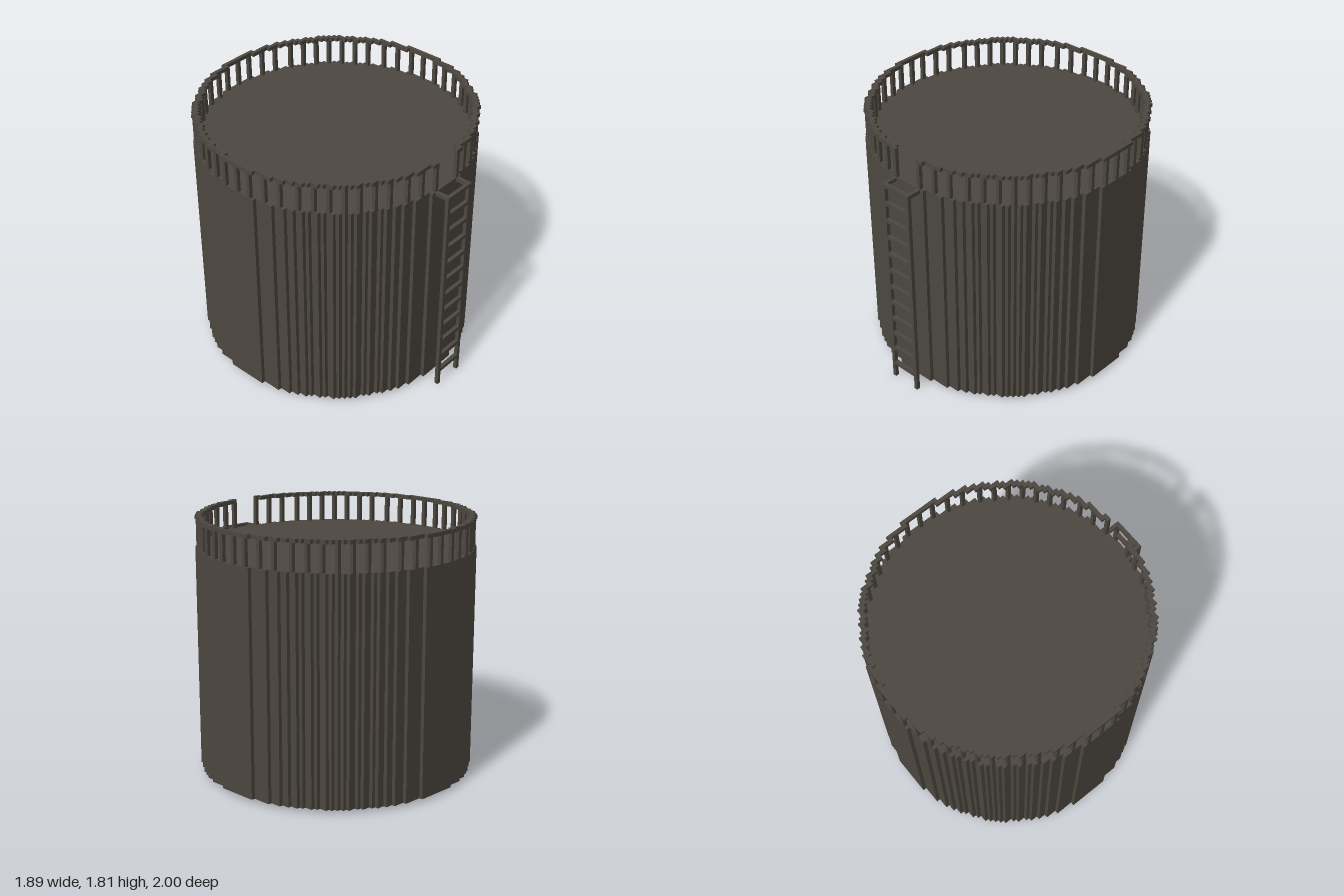
import * as THREE from 'three';

// Everything sits on a grid of cubes, 75 cubes along the longest side.
const U = 2 / 75;
const R = 35;             // tank radius in cubes, around a centre cube
const CZ = -1 + 35.5 * U; // tank centre on z
const ROOF = 60, RAIL = 67;

// Half height of the stepped disc in column x, and of the disc one cube inside it
const outerH = (x) => Math.floor(Math.sqrt((R + 0.5) ** 2 - x * x));
const innerH = (x) => outerH(x + 1) - 1;

// Stepped clockwise outline; with a gap it starts and ends at x = +gap and -gap on the front edge
function outline(h, n, gap) {
  const quarter = [];
  for (let x = 0; x <= n; x++) {
    const next = x < n ? h(x + 1) : -0.5;
    if (next === h(x)) continue;
    quarter.push([x + 0.5, h(x) + 0.5]);
    if (x < n) quarter.push([x + 0.5, next + 0.5]);
  }
  const back = [...quarter].reverse().map(([x, z]) => [x, -z]);
  const half = [...quarter, ...back];
  const mirrored = [...half].reverse().map(([x, z]) => [-x, z]);
  const pts = [...half, ...mirrored];
  if (gap) {
    pts.unshift([gap, h(0) + 0.5]);
    pts.push([-gap, h(0) + 0.5]);
  }
  return pts.map(([x, z]) => new THREE.Vector2(x * U, z * U));
}

export function createModel() {
  const model = new THREE.Group();
  model.name = 'storageTank';
  const steel = new THREE.MeshStandardMaterial({ color: 0x4d4840 });
  steel.name = 'darkSteel';

  // Extruded plan shape between two levels, given in cubes
  const slab = (name, shape, y0, y1) => {
    const geo = new THREE.ExtrudeGeometry(shape, { depth: (y1 - y0) * U, bevelEnabled: false });
    geo.rotateX(Math.PI / 2);
    geo.translate(0, y1 * U, CZ);
    const mesh = new THREE.Mesh(geo, steel);
    mesh.name = name;
    model.add(mesh);
  };

  // Box covering a range of cubes, inclusive on x and z
  const box = (parent, name, x0, x1, y0, y1, z0, z1) => {
    const mesh = new THREE.Mesh(
      new THREE.BoxGeometry((x1 - x0 + 1) * U, (y1 - y0) * U, (z1 - z0 + 1) * U), steel);
    mesh.position.set((x0 + x1) / 2 * U, (y0 + y1) / 2 * U, CZ + (z0 + z1) / 2 * U);
    mesh.name = name;
    parent.add(mesh);
  };

  // Tank wall, open underneath; the hole runs the other way so its faces look inward
  const wall = new THREE.Shape(outline(outerH, R, 0));
  wall.holes.push(new THREE.Path(outline(innerH, R - 1, 0).reverse()));
  slab('tankWall', wall, 1, ROOF);

  // Roof plate fitted inside the wall
  slab('roof', new THREE.Shape(outline(innerH, R - 1, 0)), ROOF - 1, ROOF);

  // Handrail with an opening at the ladder
  const rail = [...outline(outerH, R, 3.5), ...outline(innerH, R - 1, 3.5).reverse()];
  slab('handrail', new THREE.Shape(rail), RAIL, RAIL + 1);

  // Railing posts, mirrored into all eight octants
  const posts = new THREE.Group();
  posts.name = 'railingPosts';
  model.add(posts);
  const used = new Set(['0,' + R]); // no post in the ladder opening
  for (const a of [0, 4, 8, 12, 16, 19, 22, 25]) {
    const b = outerH(a);
    for (const sa of [1, -1]) for (const sb of [1, -1]) {
      for (const [x, z] of [[a * sa, b * sb], [b * sb, a * sa]]) {
        const key = `${x},${z}`;
        if (used.has(key)) continue;
        used.add(key);
        box(posts, 'railingPost', x, x, ROOF, RAIL, z, z);
      }
    }
  }

  // Ladder: two rails tied back to the roof edge, and twelve rungs
  const ladder = new THREE.Group();
  ladder.name = 'ladder';
  model.add(ladder);
  for (const x of [-4, 4]) {
    box(ladder, 'ladderRail', x, x, 0, ROOF, 39, 39);
    box(ladder, 'ladderBracket', x, x, ROOF - 1, ROOF, 36, 38);
  }
  for (let y = 4; y < ROOF; y += 5) box(ladder, 'rung', -3, 3, y, y + 1, 39, 39);

  return model;
}
